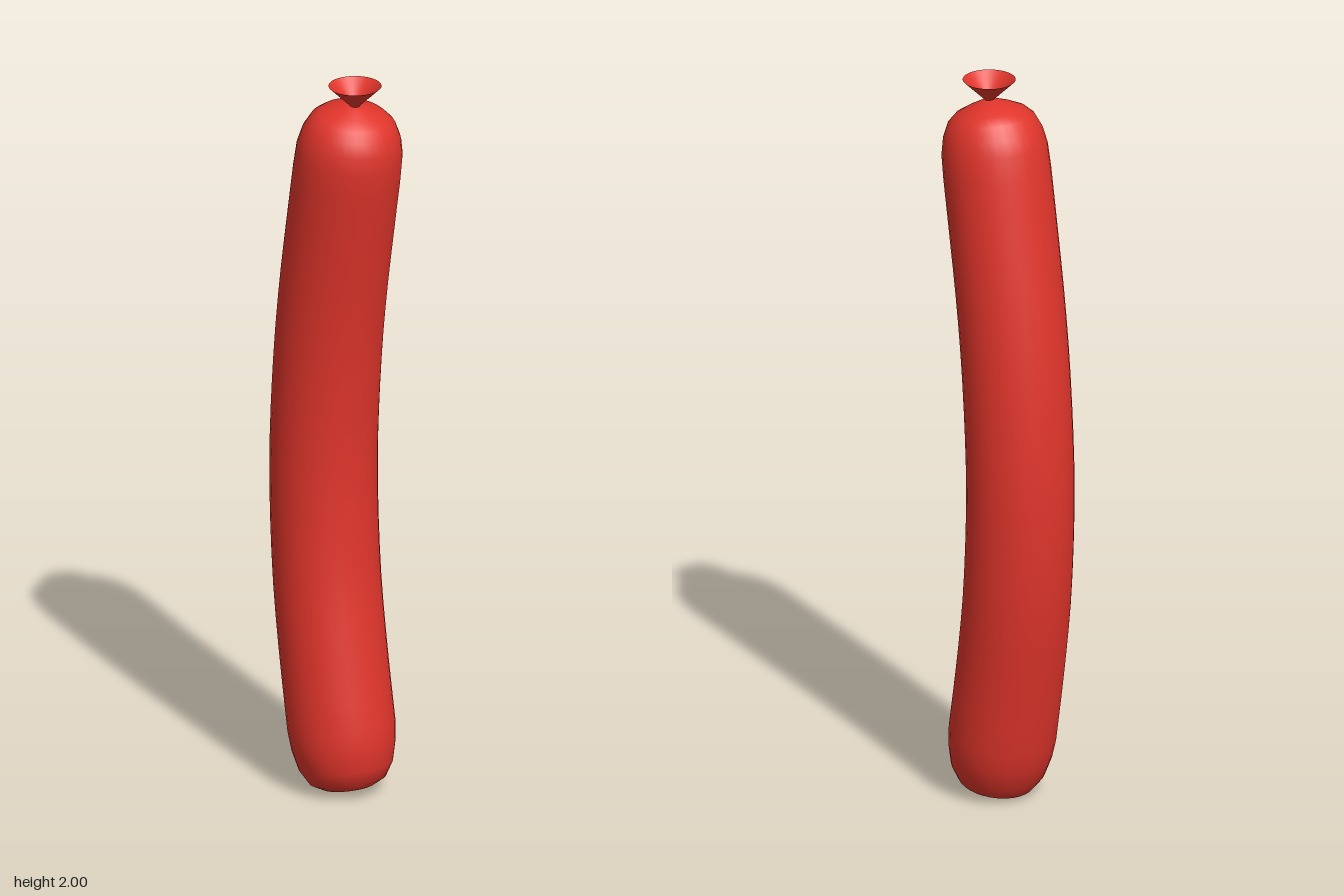
import * as THREE from 'three';

// Sweeps a round profile of [fraction along spine, radius] around a curved spine.
function sweepProfile(spine, profile, sides) {
  const geometry = new THREE.LatheGeometry(
    profile.map(([t, r]) => new THREE.Vector2(r, t)), sides);
  const pos = geometry.attributes.position;
  const sideAxis = new THREE.Vector3(1, 0, 0);
  const p = new THREE.Vector3();
  for (let i = 0; i < pos.count; i++) {
    p.fromBufferAttribute(pos, i);
    const centre = spine.getPointAt(p.y);
    const depthAxis = sideAxis.clone().cross(spine.getTangentAt(p.y)).normalize();
    centre.addScaledVector(sideAxis, p.x).addScaledVector(depthAxis, p.z);
    pos.setXYZ(i, centre.x, centre.y, centre.z);
  }
  // Smooth normals, kept continuous where the first and last columns meet
  geometry.computeVertexNormals();
  const normal = geometry.attributes.normal;
  const n = profile.length, last = sides * n;
  const a = new THREE.Vector3(), b = new THREE.Vector3();
  for (let j = 0; j < n; j++) {
    a.fromBufferAttribute(normal, j);
    b.fromBufferAttribute(normal, last + j);
    a.add(b).normalize();
    normal.setXYZ(j, a.x, a.y, a.z);
    normal.setXYZ(last + j, a.x, a.y, a.z);
  }
  // One shared direction at each pole
  for (const [j, t, sign] of [[0, 0, -1], [n - 1, 1, 1]]) {
    const d = spine.getTangentAt(t).multiplyScalar(sign);
    for (let i = 0; i <= sides; i++) normal.setXYZ(i * n + j, d.x, d.y, d.z);
  }
  return geometry;
}

export function createModel() {
  const group = new THREE.Group();
  group.name = 'sausage';
  const red = new THREE.MeshStandardMaterial({ color: 0xe0352b });
  const redOpen = new THREE.MeshStandardMaterial({ color: 0xe0352b, side: THREE.DoubleSide });

  // Gently bowed centre line
  const spine = new THREE.CatmullRomCurve3([
    [-0.004, 0.008, 0.055], [-0.004, 0.2, 0.019], [-0.002, 0.4, -0.018],
    [0.002, 0.6, -0.049], [0.004, 0.9, -0.064], [0.003, 1.2, -0.045],
    [0.001, 1.4, -0.018], [-0.001, 1.6, 0.018], [-0.003, 1.8, 0.056],
    [-0.003, 1.947, 0.083],
  ].map((c) => new THREE.Vector3(...c)));

  // Body: blunt lower end, long even middle, shoulders drawn up to the tie
  const profile = [[0, 0], [0.001, 0.07], [0.01, 0.102], [0.03, 0.125],
    [0.058, 0.138], [0.085, 0.143]];
  for (let i = 1; i <= 20; i++) profile.push([0.085 + i * 0.0405, 0.143]);
  profile.push([0.93, 0.141], [0.953, 0.132], [0.972, 0.115], [0.983, 0.092],
    [0.991, 0.058], [0.997, 0.025], [1, 0]);
  const body = new THREE.Mesh(sweepProfile(spine, profile, 32), red);
  body.name = 'body';
  group.add(body);

  // Tied end: an open flared cone of casing
  const tie = new THREE.Mesh(
    new THREE.CylinderGeometry(0.07, 0.004, 0.064, 32, 1, true), redOpen);
  tie.name = 'tiedEnd';
  tie.position.set(-0.003, 1.968, 0.082);
  group.add(tie);

  return group;
}
